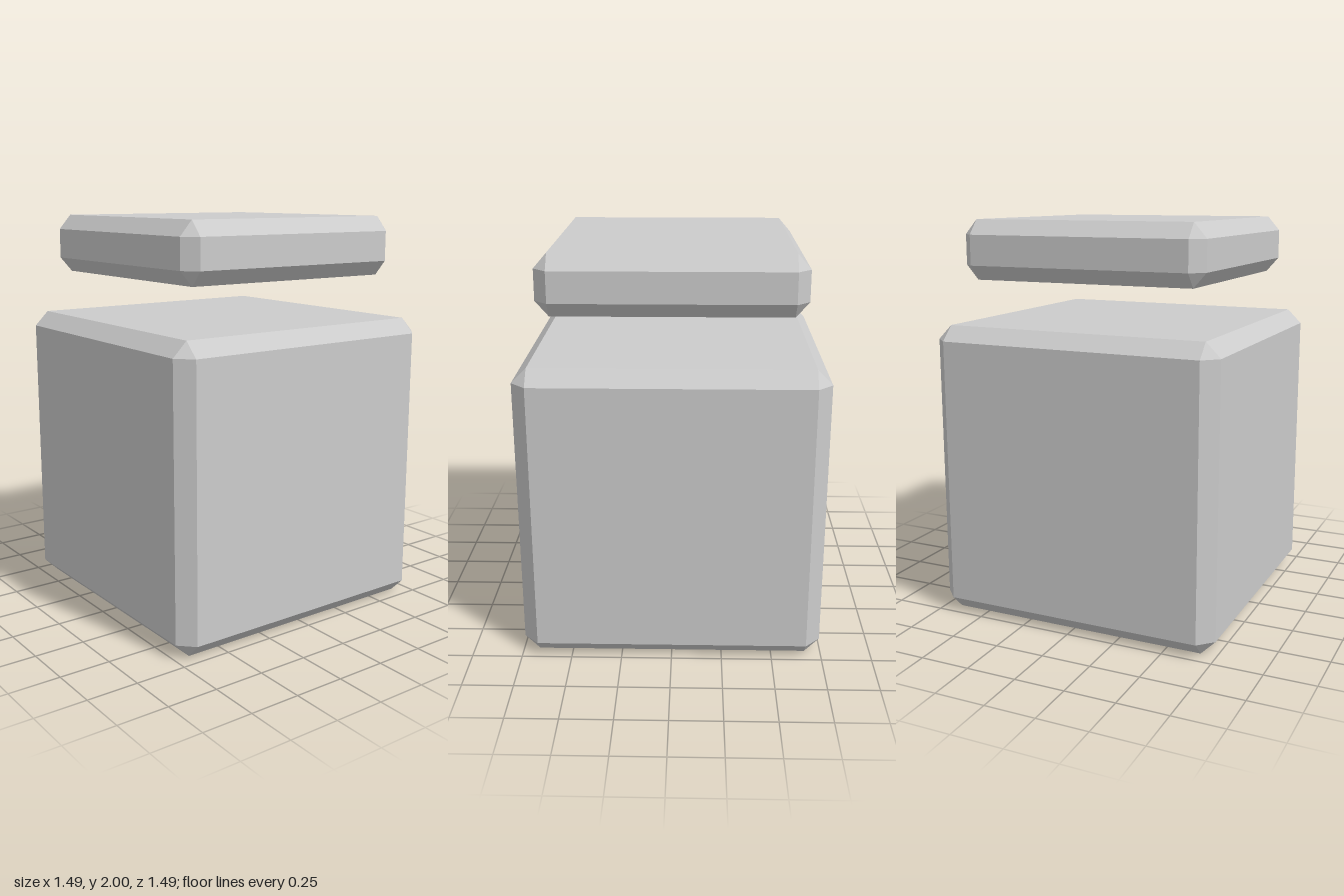
import * as THREE from 'three';

const material = new THREE.MeshStandardMaterial({
  color: 0xcccccc, flatShading: true, side: THREE.DoubleSide,
});

// Eight-corner ring of a square: `outer` is the half width, `inner` where the corner cut starts
function ring(outer, inner, y) {
  const corners = [[1, 1], [-1, 1], [-1, -1], [1, -1]];
  return corners.flatMap(([sx, sz], k) => {
    const nearX = new THREE.Vector3(sx * outer, y, sz * inner);
    const nearZ = new THREE.Vector3(sx * inner, y, sz * outer);
    return k % 2 === 0 ? [nearX, nearZ] : [nearZ, nearX];
  });
}

// Thin bevelled shell with a flat top and an open underside
function bevelledShell(name, { outer, inner, bottom, top, bevel }) {
  const rings = [
    ring(inner, inner, bottom),
    ring(outer, inner, bottom + bevel),
    ring(outer, inner, top - bevel),
    ring(inner, inner, top),
  ];
  const points = [];
  const triangle = (a, b, c) => {
    if (!a.equals(b) && !b.equals(c) && !c.equals(a)) points.push(a, b, c);
  };

  // Walls, bevels and corner facets
  for (let k = 0; k < 3; k++) {
    for (let j = 0; j < 8; j++) {
      const n = (j + 1) % 8;
      const [a, b, c, d] = [rings[k][j], rings[k][n], rings[k + 1][n], rings[k + 1][j]];
      triangle(a, d, c);
      triangle(a, c, b);
    }
  }

  // Top panel
  const t = rings[3];
  triangle(t[0], t[4], t[2]);
  triangle(t[0], t[6], t[4]);

  const geometry = new THREE.BufferGeometry().setFromPoints(points);
  geometry.computeVertexNormals();
  const mesh = new THREE.Mesh(geometry, material);
  mesh.name = name;
  return mesh;
}

export function createModel() {
  const model = new THREE.Group();
  model.name = 'boxWithFloatingLid';
  model.add(
    bevelledShell('body', { outer: 0.743, inner: 0.67, bottom: 0, top: 1.486, bevel: 0.073 }),
    bevelledShell('lid', { outer: 0.632, inner: 0.568, bottom: 1.705, top: 2, bevel: 0.073 }),
  );
  return model;
}
